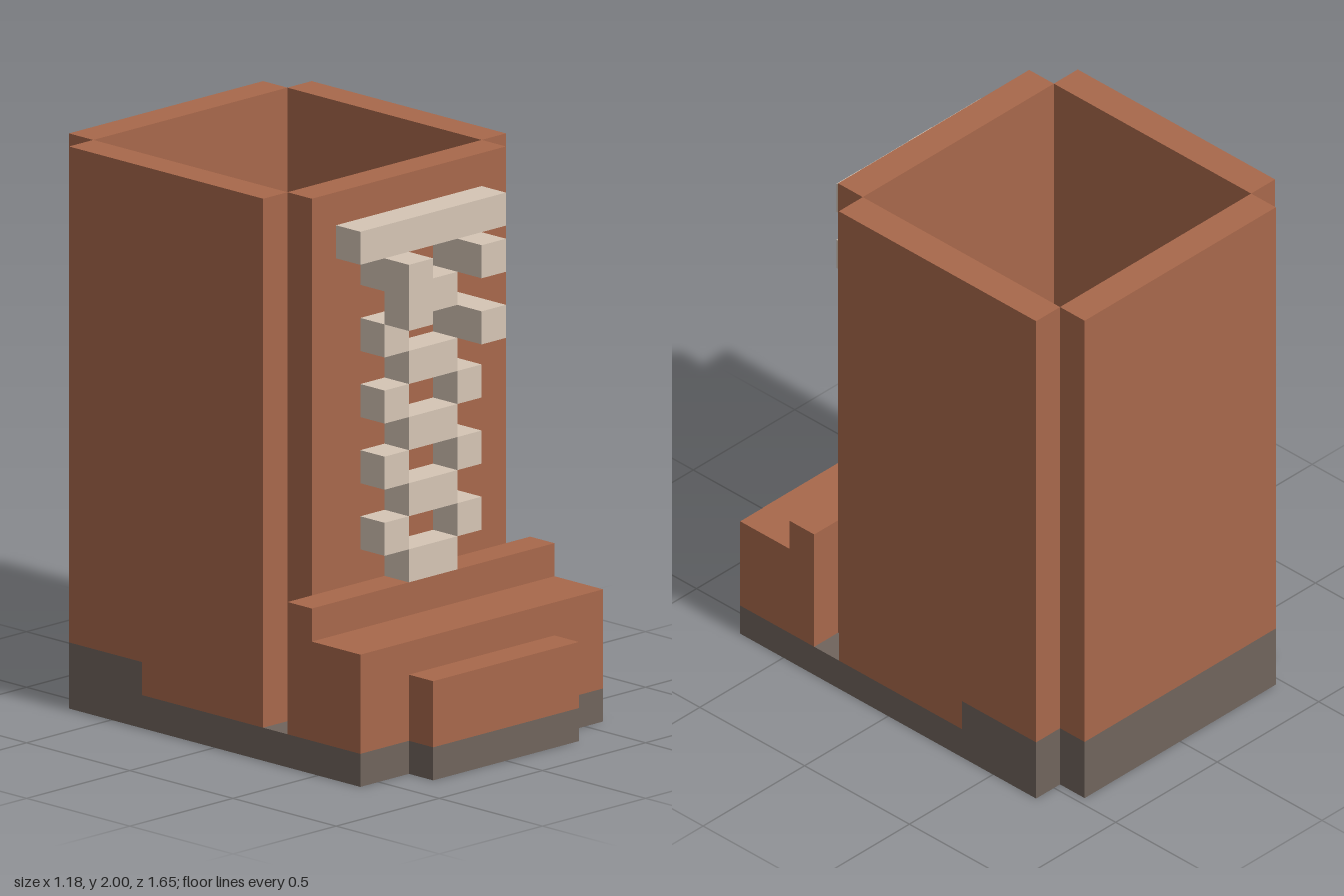
import * as THREE from 'three';

const U = 2 / 17; // one block

export function createModel() {
  const model = new THREE.Group();
  const mat = (color) => new THREE.MeshStandardMaterial({ color, flatShading: true });
  const brick = mat(0xa8684b);
  const stone = mat(0x70645c);
  const bone = mat(0xd5c5b5);

  const add = (name, geometry, material, parent = model) => {
    const mesh = new THREE.Mesh(geometry.scale(U, U, U), material);
    mesh.name = name;
    parent.add(mesh);
  };

  // Box from its lower and upper limits, in blocks
  const box = (name, [x0, x1], [y0, y1], [z0, z1], material, parent) => {
    const g = new THREE.BoxGeometry(x1 - x0, y1 - y0, z1 - z0);
    g.translate((x0 + x1) / 2, (y0 + y1) / 2, (z0 + z1) / 2);
    add(name, g, material, parent);
  };

  const extrude = (points, depth) => new THREE.ExtrudeGeometry(
    new THREE.Shape(points.map(([a, b]) => new THREE.Vector2(a, b))),
    { depth, bevelEnabled: false });

  // Symmetric floor plan given by its +x outline (x, z), raised from y0 to y1
  const slab = (name, half, y0, y1) => {
    const mirrored = half.map(([x, z]) => [-x, z]).reverse();
    const plan = [...half, ...mirrored].map(([x, z]) => [x, -z]);
    add(name, extrude(plan, y1 - y0).rotateX(-Math.PI / 2).translate(0, y0, 0), stone);
  };

  // Side profile (z, y) stretched from x0 to x1
  const profile = (name, points, x0, x1) => {
    const g = extrude(points.map(([z, y]) => [-z, y]), x1 - x0);
    add(name, g.rotateY(Math.PI / 2).translate(x0, 0, 0), brick);
  };

  // Stone base, one block higher at the rear
  slab('base', [[4, -7], [4, -6], [5, -6], [5, 6], [3, 6], [3, 7]], 0, 1);
  slab('rearBase', [[4, -7], [4, -6], [5, -6], [5, -3]], 1, 2);

  // Four walls, open at the top
  const side = [[-6, 2], [-3, 2], [-3, 1], [2, 1], [2, 17], [-6, 17]];
  profile('leftWall', side, 4, 5);
  profile('rightWall', side, -5, -4);
  box('backWall', [-4, 4], [2, 17], [-7, -6], brick);
  box('frontWall', [-4, 4], [1, 17], [2, 3], brick);

  // Steps at the foot of the front wall
  profile('frontStep', [[3, 1], [6, 1], [6, 4], [4, 4], [4, 5], [3, 5]], -5, 5);
  box('lowStep', [-3, 3], [1, 3], [6, 7], brick);

  // Raised ornament on the front wall
  const ornament = new THREE.Group();
  ornament.name = 'ornament';
  model.add(ornament);
  box('topBar', [-3, 3], [15, 16], [3, 4], bone, ornament);
  for (let y = 5; y <= 13; y += 2) {
    box('middleBlock', [-1, 1], [y, y + 1], [3, 4], bone, ornament);
  }
  for (let y = 6; y <= 12; y += 2) {
    box('rightBlock', [-2, -1], [y, y + 1], [3, 4], bone, ornament);
    box('leftBlock', [1, 2], [y, y + 1], [3, y === 12 ? 5 : 4], bone, ornament);
  }
  box('leftUpperBlock', [1, 2], [14, 15], [3, 5], bone, ornament);
  box('rightUpperBlock', [-2, -1], [14, 15], [3, 4], bone, ornament);
  box('rightHangingBlock', [-2, -1], [13, 15], [4, 5], bone, ornament);

  return model;
}
